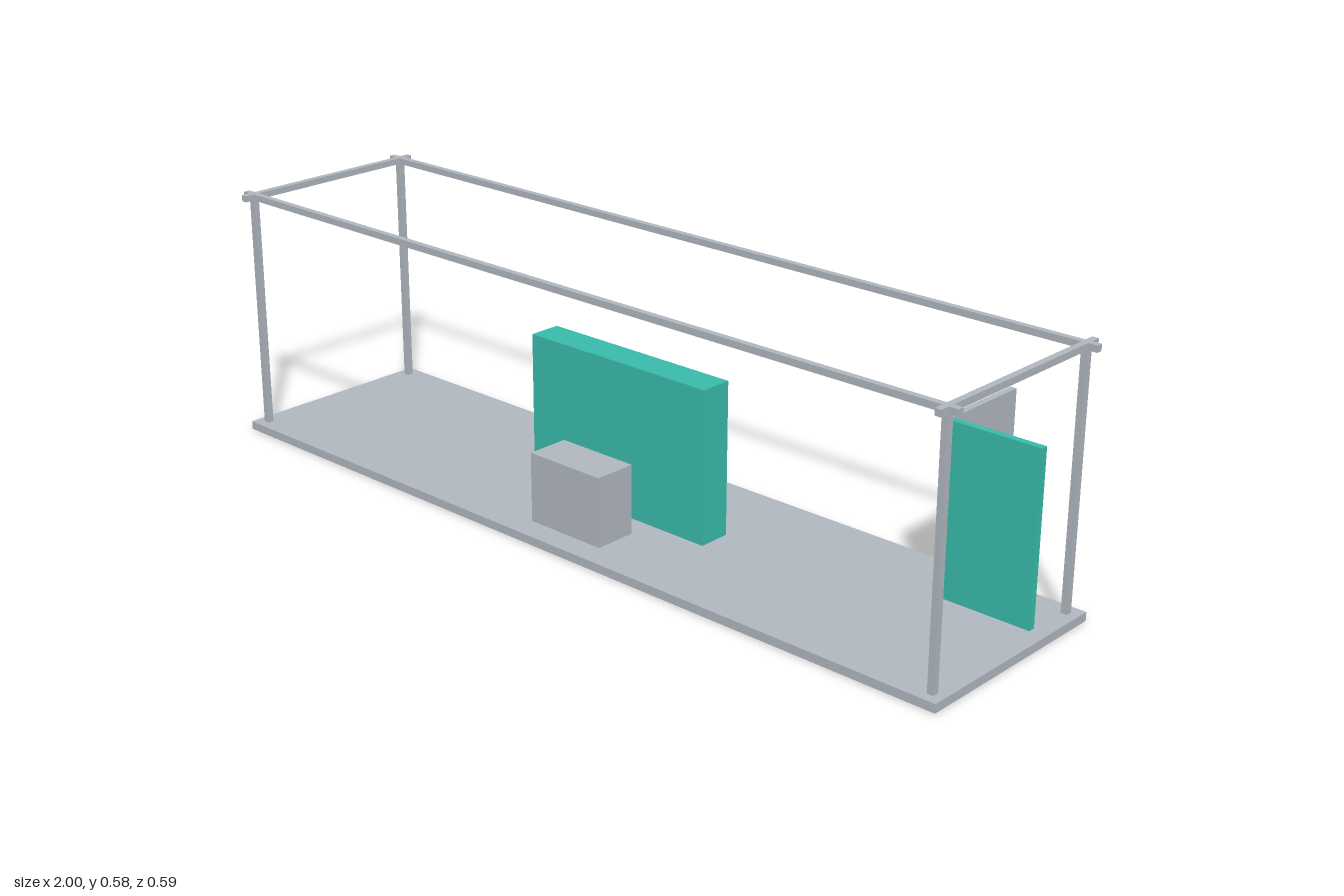
import * as THREE from 'three';

export function createModel() {
  const group = new THREE.Group();
  const grey = new THREE.MeshStandardMaterial({ name: 'grey', color: 0xb0b7bf });
  const teal = new THREE.MeshStandardMaterial({ name: 'teal', color: 0x38bbaa });

  // Box given by its extents along each axis
  function box(name, material, [x0, x1], [y0, y1], [z0, z1]) {
    const mesh = new THREE.Mesh(new THREE.BoxGeometry(x1 - x0, y1 - y0, z1 - z0), material);
    mesh.position.set((x0 + x1) / 2, (y0 + y1) / 2, (z0 + z1) / 2);
    mesh.name = name;
    group.add(mesh);
  }
  const around = (c, size) => [c - size / 2, c + size / 2];

  const bar = 0.0145, top = 0.584;
  const depth = [-0.207, 0.293];
  const barX = [-0.972, 0.972], barZ = [-0.177, 0.264];

  // Floor, its underside a hair above the panel feet so they show through
  box('floor', grey, [-1, 1], [0.0006, 0.02], depth);

  // Frame: corner posts, long rails and end rails with overlapping ends
  for (const x of barX) {
    for (const z of barZ) box('post', grey, around(x, bar), [0.01, top - 0.001], around(z, bar));
    box('endRail', grey, around(x, bar), [top - bar, top], depth);
  }
  for (const z of barZ) box('longRail', grey, [-1, 1], [top - bar, top], around(z, bar));

  // Central back wall with a counter in front
  box('centrePanel', teal, [-0.25, 0.25], [0, 0.368], [0.005, 0.08]);
  box('counter', grey, [-0.1, 0.1], [0.01, 0.178], [0.136, 0.235]);

  // Corner partition
  box('partitionFront', teal, [0.752, 0.964], [0, 0.4], [-0.078, -0.062]);
  box('partitionSide', grey, [0.737, 0.752], [0, 0.4], [-0.293, -0.062]);

  return group;
}
